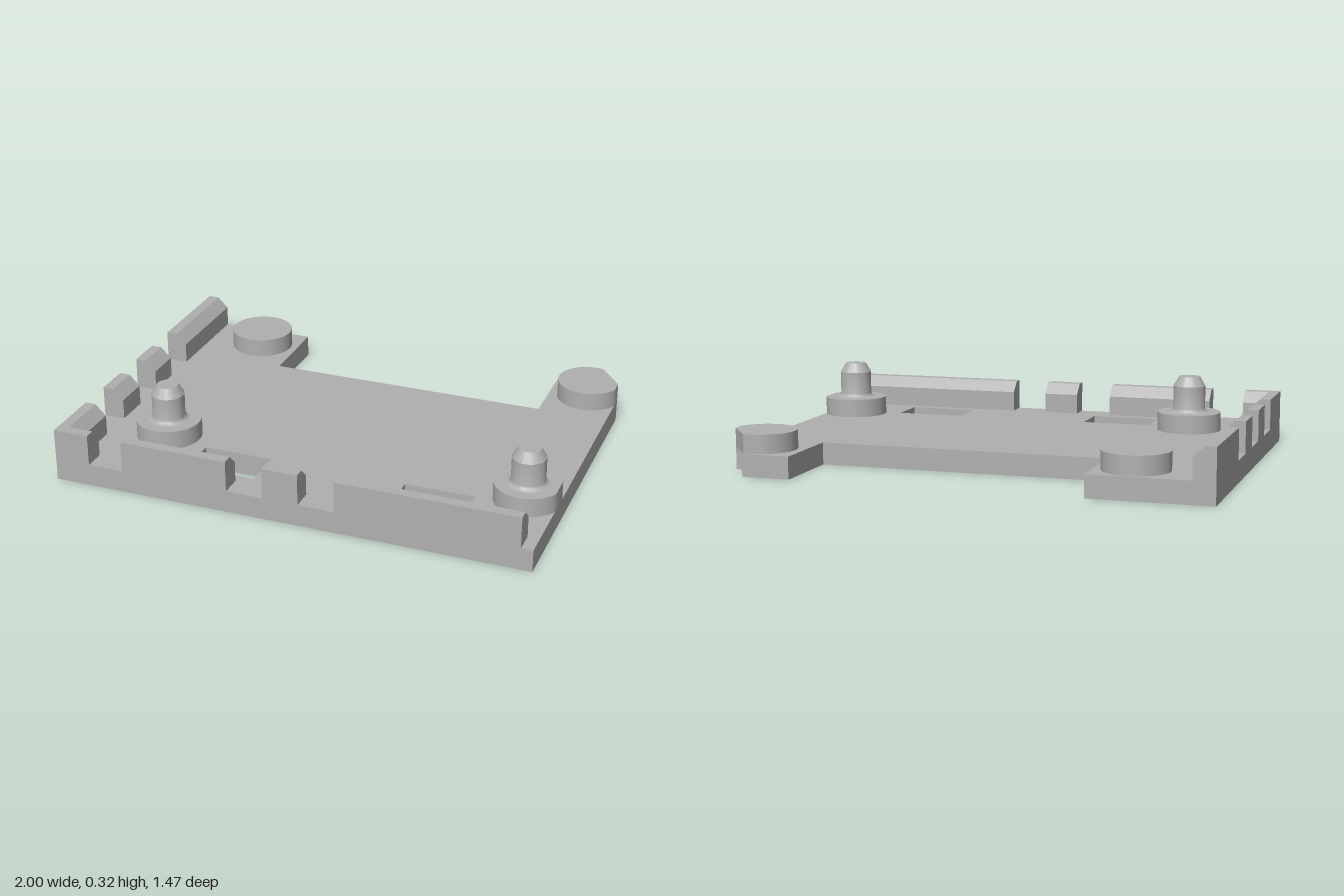
import * as THREE from 'three';
import { toCreasedNormals } from 'three/addons/utils/BufferGeometryUtils.js';

const D = 0.737;            // half depth
const FLOOR = 0.092;        // plate thickness
const BOSS_TOP = 0.17;
const WALL_TOP = 0.222;
const BOSS_R = 0.135;

// Shapes are drawn in (x, -z) and raised along y.
function raise(shape, bottom, top) {
  const g = new THREE.ExtrudeGeometry(shape, { depth: top - bottom, bevelEnabled: false, curveSegments: 48 });
  g.rotateX(-Math.PI / 2);
  g.translate(0, bottom, 0);
  return toCreasedNormals(g, 0.5);
}

const outline = (pts) => new THREE.Shape(pts.map(([x, z]) => new THREE.Vector2(x, -z)));

export function createModel() {
  const model = new THREE.Group();
  model.name = 'mountingTray';
  const grey = new THREE.MeshStandardMaterial({ color: 0xb0b0b0 });
  grey.name = 'grey';

  const add = (name, geometry) => {
    const mesh = new THREE.Mesh(geometry, grey);
    mesh.name = name;
    model.add(mesh);
    return mesh;
  };

  // Base plate with a rear cut-out, a corner notch and two windows
  const plate = outline([
    [-1, D], [1, D], [1, -0.595], [0.905, -0.595], [0.905, -D],
    [0.705, -D], [0.705, -0.395], [-0.5, -0.395], [-0.5, -D], [-1, -D],
  ]);
  for (const [x0, x1] of [[-0.475, -0.185], [0.39, 0.68]]) {
    plate.holes.push(outline([[x0, 0.43], [x0, 0.605], [x1, 0.605], [x1, 0.43]]));
  }
  add('basePlate', raise(plate, 0, FLOOR));

  // Round bosses; those on the left side are trimmed flush with the plate edge
  const trim = Math.acos((1 - 0.875) / BOSS_R);
  const boss = (name, x, z, start, end, corner) => {
    const s = new THREE.Shape();
    s.absarc(x, -z, BOSS_R, start, end, false);
    if (corner) {
      s.lineTo(1, 0.595);
      s.lineTo(0.905, 0.595);
    }
    s.closePath();
    if (corner) {
      // the notch corner: arc runs clockwise from the notch round to the plate edge
      const n = new THREE.Shape();
      n.moveTo(0.905, 0.595);
      n.absarc(x, -z, BOSS_R, Math.acos(0.03 / BOSS_R), Math.PI * 2 - trim, false);
      n.lineTo(1, 0.595);
      n.closePath();
      add(name, raise(n, FLOOR, BOSS_TOP));
    } else add(name, raise(s, FLOOR, BOSS_TOP));
  };
  boss('rearRightBoss', -0.665, -0.59, 0, Math.PI * 2);
  boss('rearLeftBoss', 0.875, -0.59, 0, 0, true);
  boss('frontRightBoss', -0.665, 0.377, 0, Math.PI * 2);
  boss('frontLeftBoss', 0.875, 0.377, trim, Math.PI * 2 - trim);

  // Locating pins with a flared foot and a tapered tip
  const pinProfile = [
    [0.086, BOSS_TOP], [0.077, 0.173], [0.071, 0.179], [0.068, 0.188],
    [0.068, 0.282], [0.045, 0.322], [0, 0.322],
  ].map(([r, y]) => new THREE.Vector2(r, y));
  const pin = toCreasedNormals(new THREE.LatheGeometry(pinProfile, 48), 0.5);
  add('rightPin', pin).position.set(-0.665, 0, 0.377);
  add('leftPin', pin).position.set(0.875, 0, 0.377);

  // Rim walls: vertical outside, chamfered along the inner top edge
  const wallProfile = new THREE.Shape([
    [0, FLOOR], [0.09, FLOOR], [0.09, 0.177], [0.045, WALL_TOP], [0, WALL_TOP],
  ].map(([x, y]) => new THREE.Vector2(x, y)));
  const wall = (length) => new THREE.ExtrudeGeometry(wallProfile, { depth: length, bevelEnabled: false });

  for (const [z0, z1] of [[-D, -0.287], [-0.135, 0.017], [0.167, 0.317], [0.47, D]]) {
    add('sideWall', wall(z1 - z0)).position.set(-1, 0, z0);
  }
  for (const [x0, x1] of [[-1, -0.85], [-0.7, -0.245], [-0.092, 0.058], [0.208, 0.952]]) {
    const mesh = add('frontWall', wall(x1 - x0));
    mesh.rotation.y = Math.PI / 2;
    mesh.position.set(x0, 0, D);
  }
  return model;
}
